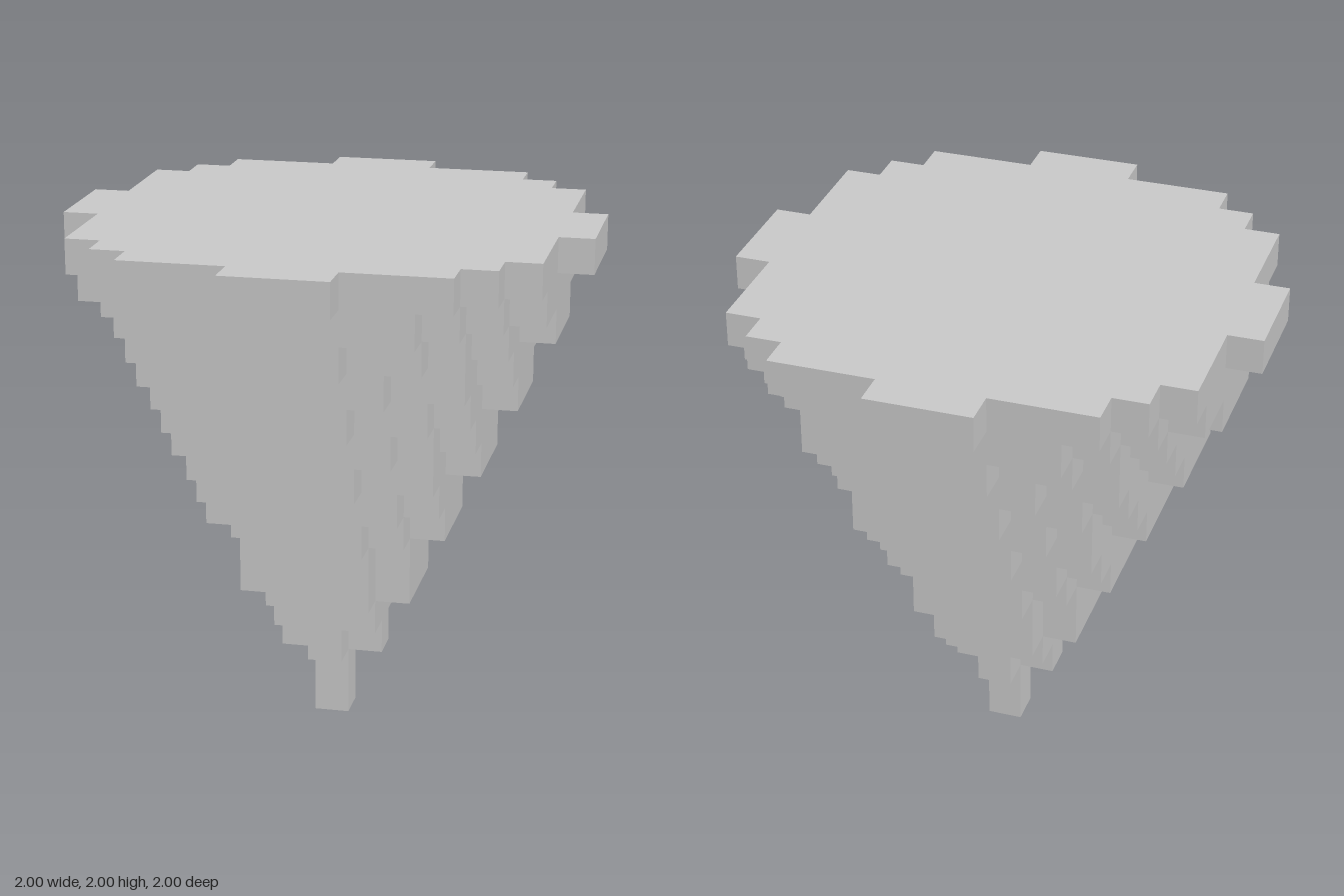
import * as THREE from 'three';

const LAYERS = 15;
const CELL = 2 / LAYERS;

// Stepped outline of a disc of whole cells, counter-clockwise
function discOutline(radius) {
  const n = Math.floor(radius);
  const halfWidth = (row) => Math.floor(Math.sqrt(radius * radius - row * row)) + 0.5;
  const side = [];
  for (let row = -n; row <= n; row++) {
    const w = halfWidth(row);
    // corners only where the width changes
    if (row === -n || halfWidth(row - 1) !== w) side.push([w, row - 0.5]);
    if (row === n || halfWidth(row + 1) !== w) side.push([w, row + 0.5]);
  }
  // the other side is the same run of corners turned by half a circle
  const corners = [...side, ...side.map(([x, y]) => [-x, -y])];
  return new THREE.Shape(corners.map(([x, y]) => new THREE.Vector2(x * CELL, y * CELL)));
}

export function createModel() {
  const group = new THREE.Group();
  group.name = 'blockCone';
  const material = new THREE.MeshStandardMaterial({ color: 0xcccccc, flatShading: true });

  // One slab of cells per layer, widening from the tip to the flat top
  for (let layer = 0; layer < LAYERS; layer++) {
    const geometry = new THREE.ExtrudeGeometry(discOutline((layer + 0.5) / 2), {
      depth: CELL,
      bevelEnabled: false,
    });
    geometry.rotateX(-Math.PI / 2);
    const slab = new THREE.Mesh(geometry, material);
    slab.name = `layer${layer + 1}`;
    slab.position.y = layer * CELL;
    group.add(slab);
  }
  return group;
}
